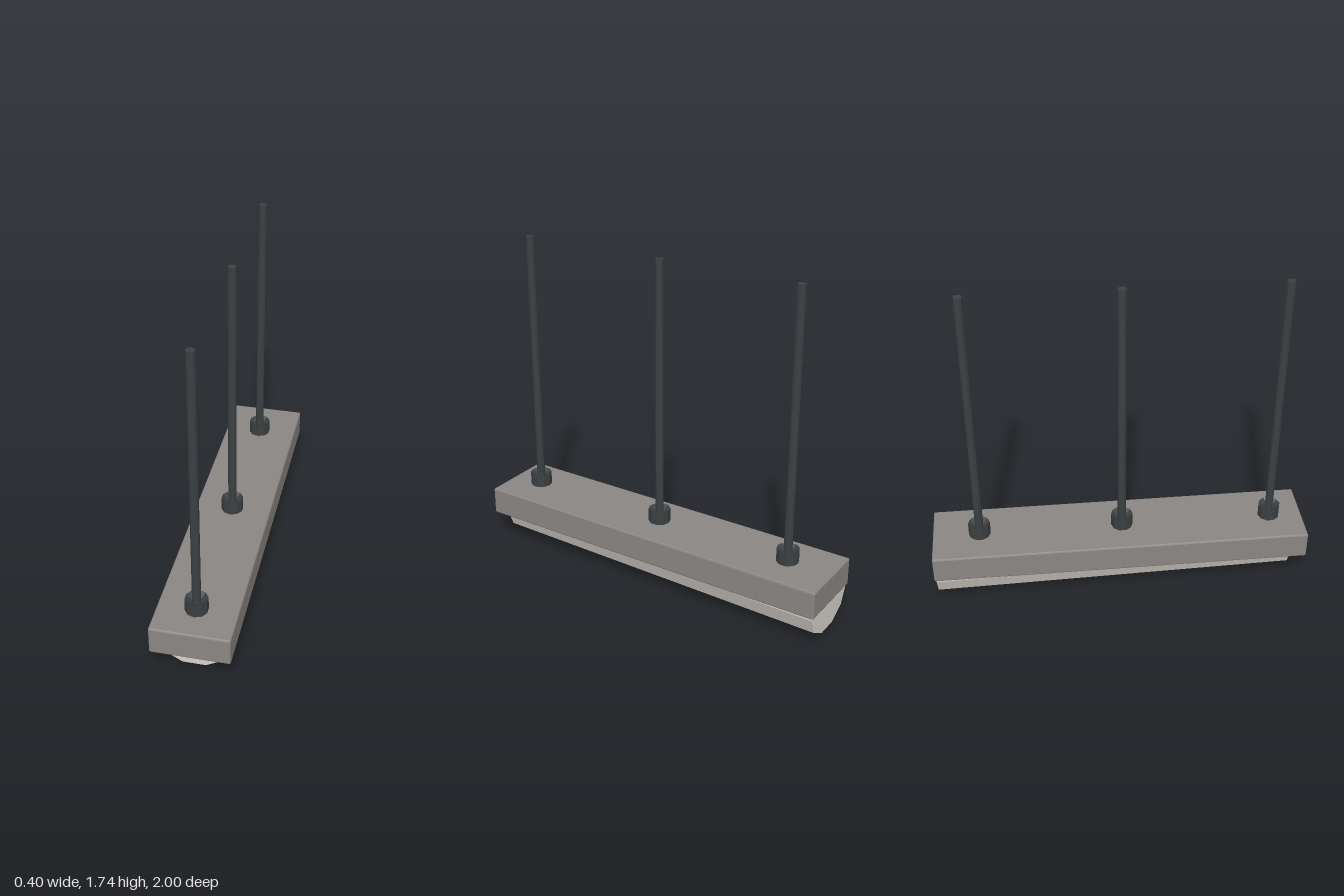
import * as THREE from 'three';
import { RoundedBoxGeometry } from 'three/addons/geometries/RoundedBoxGeometry.js';

const paint = (color) => new THREE.MeshStandardMaterial({ color, flatShading: true });

function part(name, geometry, material, x, y, z) {
  const mesh = new THREE.Mesh(geometry, material);
  mesh.name = name;
  mesh.position.set(x, y, z);
  return mesh;
}

export function createModel() {
  const model = new THREE.Group();
  model.name = 'hangingLamp';
  const housingPaint = paint(0x8a8683);
  const diffuserPaint = paint(0xd8d2cb);
  const metal = paint(0x3c4042);

  // Long housing with slightly softened edges
  model.add(part('housing', new RoundedBoxGeometry(0.4, 0.15, 2, 1, 0.008), housingPaint, 0, 0.235, 0));

  // Faceted half-round diffuser, tilted a little under the housing
  const profile = new THREE.Shape();
  profile.moveTo(0.19, 0.03);
  for (let i = 0; i <= 5; i++) {
    const a = -i * Math.PI / 5;
    profile.lineTo(0.19 * Math.cos(a), 0.15 * Math.sin(a));
  }
  profile.lineTo(-0.19, 0.03);
  const length = 1.9;
  const diffuserGeometry = new THREE.ExtrudeGeometry(profile, { depth: length, bevelEnabled: false });
  diffuserGeometry.translate(0, 0, -length / 2);
  const diffuser = part('diffuser', diffuserGeometry, diffuserPaint, 0, 0.165, -0.04);
  diffuser.rotation.x = -0.0185;
  model.add(diffuser);

  // Three hanging rods, each in a collar with a dished top
  const collarProfile = [[0, 0], [0.058, 0], [0.058, 0.075], [0.02, 0.045]]
    .map(([r, y]) => new THREE.Vector2(r, y));
  const collarGeometry = new THREE.LatheGeometry(collarProfile, 10);
  const rodGeometry = new THREE.CylinderGeometry(0.022, 0.022, 1.43, 10);
  for (const z of [0.82, 0.015, -0.75]) {
    const hanger = new THREE.Group();
    hanger.name = 'hanger';
    hanger.position.set(-0.005, 0.307, z);
    hanger.add(part('collar', collarGeometry, metal, 0, 0, 0));
    hanger.add(part('rod', rodGeometry, metal, 0, 0.718, 0));
    model.add(hanger);
  }
  return model;
}
